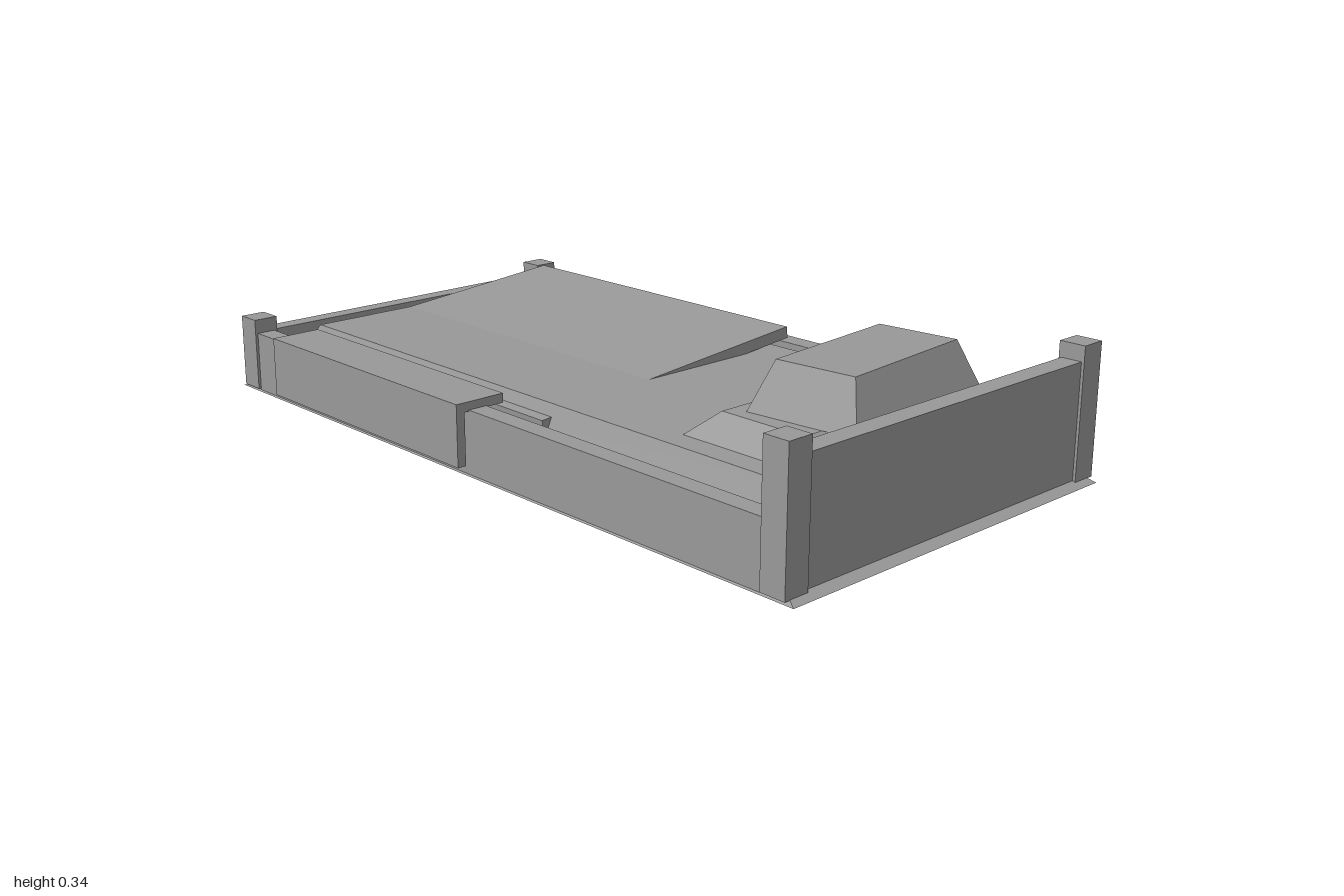
import * as THREE from 'three';

export function createModel() {
  const group = new THREE.Group();
  group.name = 'bed';
  const grey = new THREE.MeshStandardMaterial({ color: 0x999999 });
  grey.name = 'plain grey';

  const add = (name, geometry) => {
    const mesh = new THREE.Mesh(geometry, grey);
    mesh.name = name;
    group.add(mesh);
    return mesh;
  };

  // Box given by its limits on each axis
  const box = (name, x0, x1, y0, y1, z0, z1) => {
    const g = new THREE.BoxGeometry(x1 - x0, y1 - y0, z1 - z0);
    g.translate((x0 + x1) / 2, (y0 + y1) / 2, (z0 + z1) / 2);
    return add(name, g);
  };

  // Box whose top rectangle differs from its bottom one; each is [x0, x1, z0, z1]
  const taperedBox = (name, y0, y1, bottom, top) => {
    let g = new THREE.BoxGeometry(1, 1, 1);
    const p = g.attributes.position;
    for (let i = 0; i < p.count; i++) {
      const up = p.getY(i) > 0;
      const r = up ? top : bottom;
      p.setXYZ(i, p.getX(i) > 0 ? r[1] : r[0], up ? y1 : y0, p.getZ(i) > 0 ? r[3] : r[2]);
    }
    g = g.toNonIndexed();
    g.computeVertexNormals();
    return add(name, g);
  };

  // Floor slab with a shallow bevel
  taperedBox('base', 0, 0.012, [-0.503, 0.523, -1, 1], [-0.49, 0.51, -0.975, 0.975]);

  // Corner posts, taller at the head
  for (const [side, x0, x1] of [['right', -0.507, -0.441], ['left', 0.465, 0.531]]) {
    box(side + 'HeadPost', x0, x1, 0.008, 0.33, 0.915, 0.981);
    box(side + 'FootPost', x0, x1, 0.008, 0.197, -0.983, -0.917);
  }

  // Boards and side rails
  box('headboard', -0.45, 0.475, 0.008, 0.292, 0.922, 0.974);
  box('footboard', -0.45, 0.475, 0.008, 0.16, -0.974, -0.928);
  box('rightRail', -0.5, -0.45, 0.004, 0.16, -0.92, 0.92);
  box('leftRail', 0.467, 0.521, 0.004, 0.16, -0.92, 0.92);

  // Mattress with sloping sides
  taperedBox('mattress', 0.05, 0.176, [-0.415, 0.44, -0.915, 0.91], [-0.36, 0.38, -0.83, 0.83]);

  // Two stacked pillows, the upper one turned slightly
  taperedBox('lowerPillow', 0.16, 0.226, [-0.32, 0.34, 0.475, 0.855], [-0.23, 0.26, 0.54, 0.775]);
  const pillow = taperedBox('upperPillow', 0.226, 0.341,
    [-0.245, 0.245, -0.142, 0.142], [-0.198, 0.198, -0.102, 0.102]);
  pillow.position.set(0.0625, 0, 0.696);
  pillow.rotation.y = 0.1;

  // Blanket slab, tilted so one side sinks into the mattress
  const blanket = add('blanket', new THREE.BoxGeometry(0.82, 0.03, 0.97));
  blanket.position.set(0.01, 0.168, -0.345);
  blanket.rotation.z = 0.09;

  // Blanket fold hanging over the rail
  box('foldTop', -0.535, -0.4, 0.157, 0.18, -0.78, 0);
  box('foldSide', -0.535, -0.512, 0.028, 0.157, -0.78, 0);

  return group;
}
